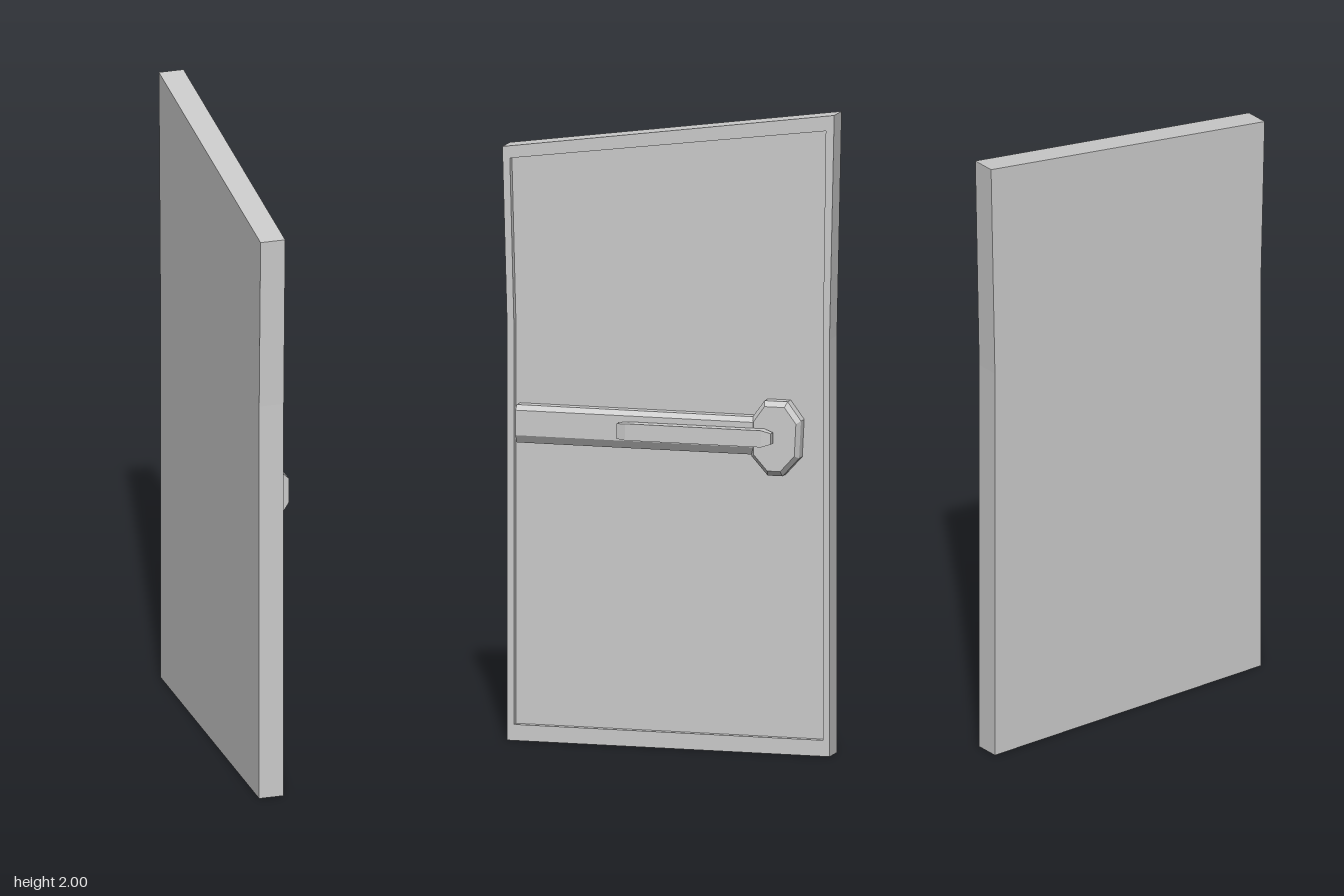
import * as THREE from 'three';

const material = new THREE.MeshStandardMaterial({ color: 0xcccccc, flatShading: true });

const toPoints = (list) => list.map(([a, b]) => new THREE.Vector2(a, b));

function addMesh(group, name, geometry) {
  geometry.computeVertexNormals();
  const mesh = new THREE.Mesh(geometry, material);
  mesh.name = name;
  group.add(mesh);
  return mesh;
}

// Extrudes an outline of (-z, y) points along x, from x0 to x1
function sidePrism(outline, x0, x1, hole) {
  const shape = new THREE.Shape(toPoints(outline));
  if (hole) shape.holes.push(new THREE.Path(toPoints(hole)));
  const geometry = new THREE.ExtrudeGeometry(shape, { depth: x1 - x0, bevelEnabled: false });
  return geometry.rotateY(Math.PI / 2).translate(x0, 0, 0);
}

export function createModel() {
  const door = new THREE.Group();
  door.name = 'door';

  // Door leaf with slanted top and a raised rim around a sunken panel
  const outer = [[-0.52, 0], [0.515, 0], [0.515, 1.3], [0.53, 2], [-0.535, 1.85], [-0.52, 1.3]];
  const inner = [[-0.498, 0.05], [0.494, 0.05], [0.494, 1.3], [0.503, 1.95], [-0.511, 1.815], [-0.498, 1.3]];
  const recess = -0.02;
  addMesh(door, 'doorPanel', sidePrism(outer, -0.077, recess));
  addMesh(door, 'doorRim', sidePrism(outer, recess, 0.002, inner));

  // Rail across the door, chamfered along its outer edges
  const railProfile = [[recess, 0.932], [0.014, 0.932], [0.03, 0.957], [0.03, 1.035], [0.014, 1.05], [recess, 1.05]];
  const rail = new THREE.ExtrudeGeometry(new THREE.Shape(toPoints(railProfile)), { depth: 0.775, bevelEnabled: false });
  addMesh(door, 'rail', rail.translate(0, 0, -0.29));

  // Eight-sided lock plate: straight base and bevelled face
  const plate = [[0.268, 0.927], [0.32, 0.869], [0.368, 0.869], [0.421, 0.927],
    [0.427, 1.044], [0.384, 1.102], [0.31, 1.102], [0.268, 1.044]];
  addMesh(door, 'lockPlateBase', sidePrism(plate, recess, 0.014));
  const face = sidePrism(plate, 0.014, 0.031);
  const pos = face.attributes.position;
  for (let i = 0; i < pos.count; i++) {
    if (pos.getX(i) < 0.02) continue;
    pos.setY(i, 0.99 + (pos.getY(i) - 0.99) * 0.86);
    pos.setZ(i, -0.347 + (pos.getZ(i) + 0.347) * 0.86);
  }
  addMesh(door, 'lockPlateFace', face);

  // Handle bar, narrowed at both ends
  const handle = new THREE.BoxGeometry(0.038, 0.052, 0.495, 1, 1, 3);
  const hp = handle.attributes.position;
  for (let i = 0; i < hp.count; i++) {
    const z = hp.getZ(i);
    const end = Math.abs(z) > 0.2;
    if (end) {
      hp.setX(i, hp.getX(i) * 0.62);
      hp.setY(i, hp.getY(i) * (z < 0 ? 0.65 : 0.9));
    } else {
      hp.setZ(i, Math.sign(z) * 0.218);
    }
  }
  addMesh(door, 'handle', handle.translate(0.054, 0.992, -0.098));

  // Mount joining the handle to the rail and plate
  const mount = new THREE.BoxGeometry(0.02, 0.032, 0.44);
  addMesh(door, 'handleMount', mount.translate(0.03, 0.992, -0.1));

  return door;
}
